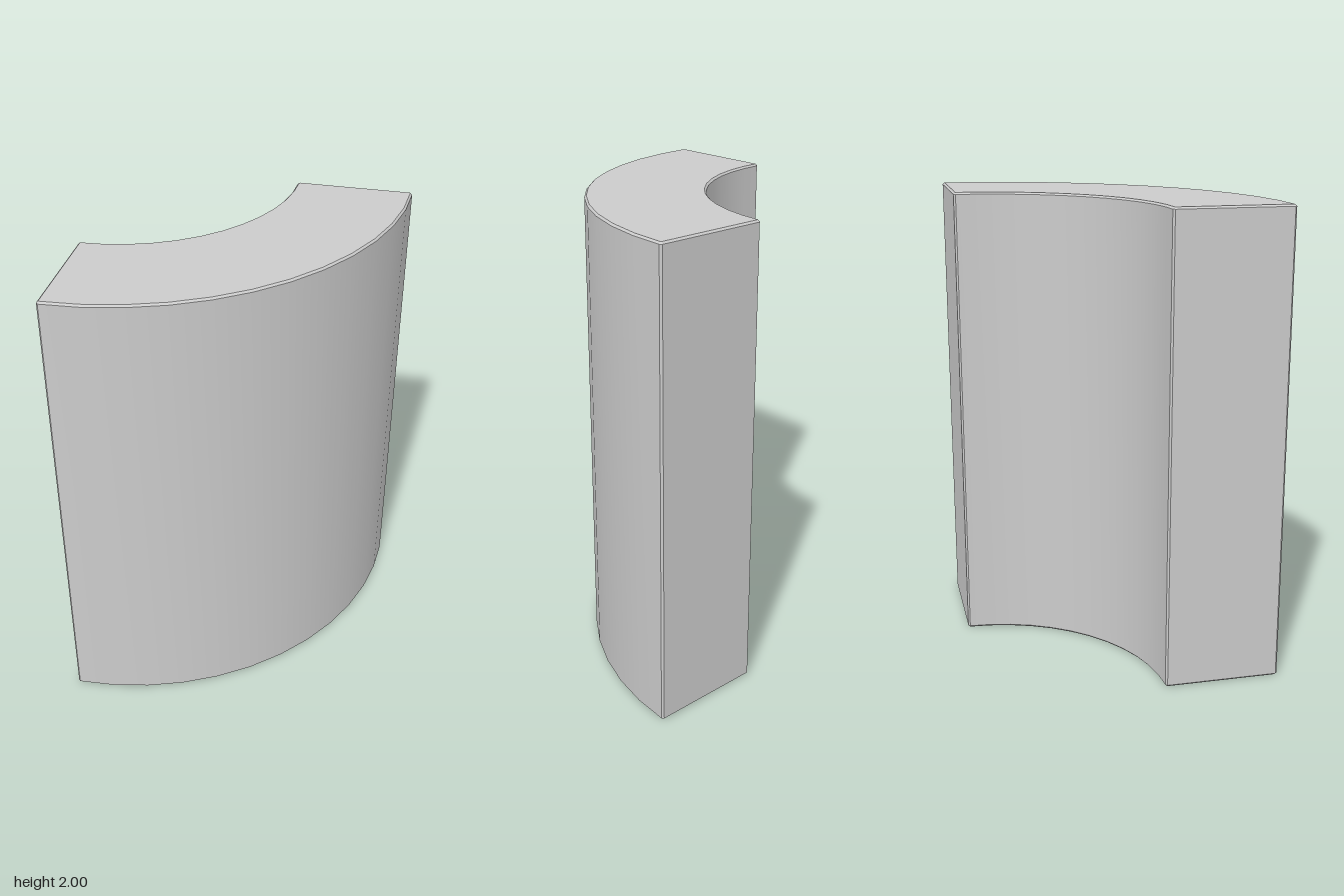
import * as THREE from 'three';
import { toCreasedNormals } from 'three/addons/utils/BufferGeometryUtils.js';

const OUTER = 1.24, INNER = 0.745, HEIGHT = 2, BEVEL = 0.008, SEGMENTS = 12;

// Points along a quarter arc, leaving out both ends (they are chamfered)
function arcPoints(radius) {
  const points = [];
  for (let i = 1; i < SEGMENTS; i++) {
    const a = (i / SEGMENTS) * Math.PI / 2;
    points.push(new THREE.Vector2(radius * Math.cos(a), radius * Math.sin(a)));
  }
  return points;
}

export function createModel() {
  const v = (x, y) => new THREE.Vector2(x, y);

  // Quarter-ring plan with small chamfers at its four corners
  const plan = new THREE.Shape([
    v(OUTER - BEVEL, 0), v(OUTER, BEVEL),
    ...arcPoints(OUTER),
    v(BEVEL, OUTER), v(0, OUTER - BEVEL),
    v(0, INNER + BEVEL), v(BEVEL, INNER),
    ...arcPoints(INNER).reverse(),
    v(INNER, BEVEL), v(INNER + BEVEL, 0),
  ]);

  // Extruded upwards with a fine bevel on the top and bottom edges
  let geometry = new THREE.ExtrudeGeometry(plan, {
    depth: HEIGHT - 2 * BEVEL,
    bevelEnabled: true,
    bevelThickness: BEVEL,
    bevelSize: BEVEL,
    bevelOffset: -BEVEL,
    bevelSegments: 1,
  });
  geometry.rotateX(Math.PI / 2);
  geometry.translate(-OUTER / 2, HEIGHT - BEVEL, -OUTER / 2);
  geometry = toCreasedNormals(geometry, 0.5);

  const wall = new THREE.Mesh(geometry, new THREE.MeshStandardMaterial({ color: 0xcccccc }));
  wall.name = 'curvedWall';

  const group = new THREE.Group();
  group.name = 'quarterRingWall';
  group.add(wall);
  return group;
}
